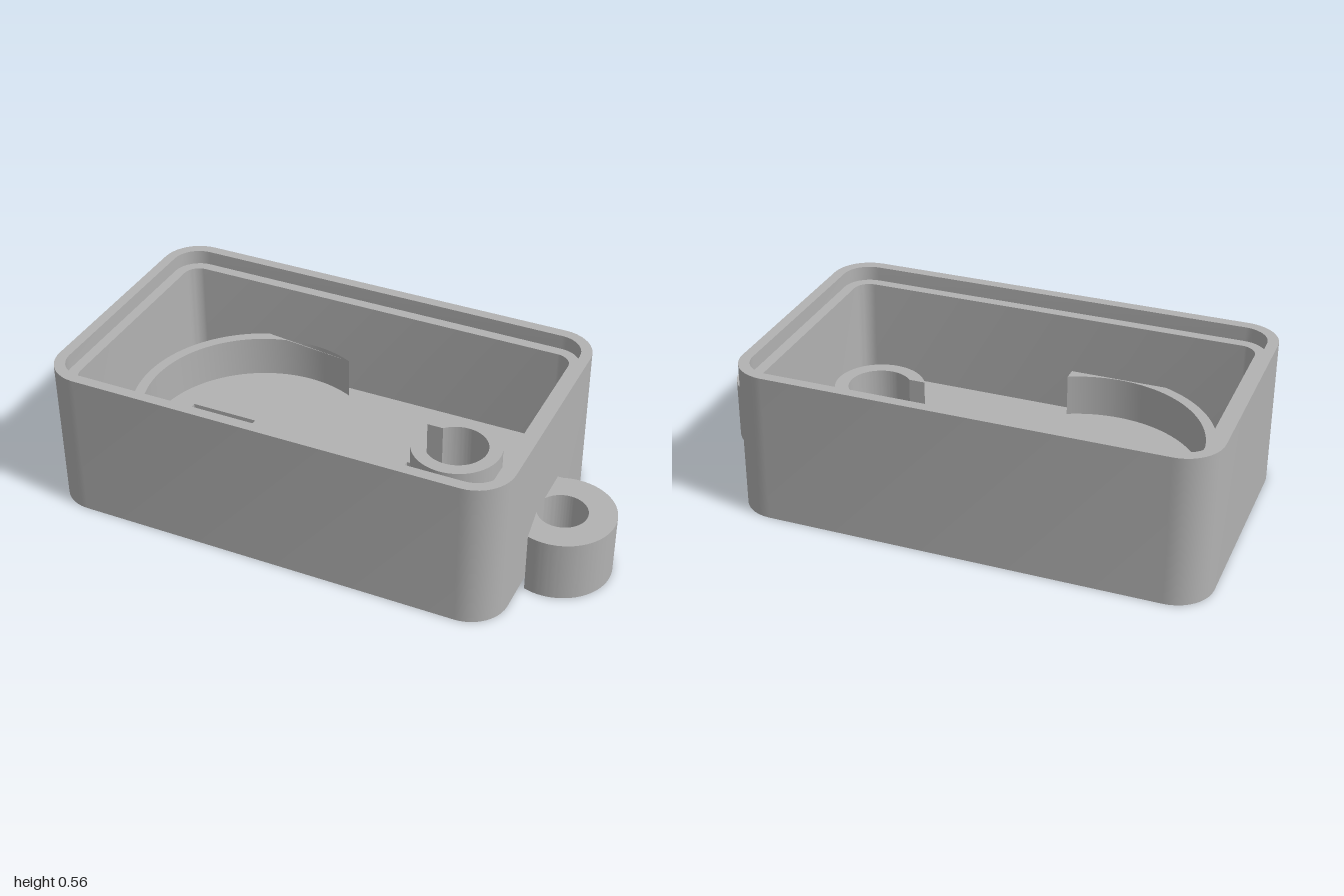
import * as THREE from 'three';
import { toCreasedNormals } from 'three/addons/utils/BufferGeometryUtils.js';

const X0 = -1, X1 = 0.73, HALF_Z = 0.515, RADIUS = 0.14;
const FLOOR = 0.12, HEIGHT = 0.56, LEDGE = 0.505, WALL = 0.08, LIP = 0.04;

// Rounded-rectangle loop in plan (x, z), inset from the outer wall
function outline(inset, steps = 10) {
  const pts = [], r = RADIUS - inset;
  const corners = [[X1, 1, 0], [X0, 1, 1], [X0, -1, 2], [X1, -1, 3]];
  for (const [x, side, q] of corners) {
    const cx = x === X1 ? X1 - RADIUS : X0 + RADIUS;
    const cz = side * (HALF_Z - RADIUS);
    for (let i = 0; i <= steps; i++) {
      const t = (q + i / steps) * Math.PI / 2;
      pts.push(new THREE.Vector2(cx + r * Math.cos(t), cz + r * Math.sin(t)));
    }
  }
  return pts;
}

// Sweep a closed wall profile of [inset, y] points around the outline
function wallGeometry(profile) {
  const loops = profile.map(([inset, y]) => outline(inset).map(p => [p.x, y, p.y]));
  const pos = [];
  loops.forEach((loop, k) => {
    const next = loops[(k + 1) % loops.length];
    for (let j = 0; j < loop.length; j++) {
      const n = (j + 1) % loop.length;
      pos.push(...loop[j], ...next[j], ...loop[n], ...loop[n], ...next[j], ...next[n]);
    }
  });
  const g = new THREE.BufferGeometry();
  g.setAttribute('position', new THREE.Float32BufferAttribute(pos, 3));
  return toCreasedNormals(g, 0.6);
}

// Extrude a plan shape (drawn in x, -z) upward from y0 to y1
function prism(shape, y0, y1) {
  const g = new THREE.ExtrudeGeometry(shape, { depth: y1 - y0, bevelEnabled: false, curveSegments: 48 });
  g.rotateX(-Math.PI / 2);
  g.translate(0, y0, 0);
  return toCreasedNormals(g, 0.6);
}

function slot(x0, x1) {
  return new THREE.Path([[x0, -0.085], [x0, 0.085], [x1, 0.085], [x1, -0.085]].map(p => new THREE.Vector2(...p)));
}

export function createModel() {
  const model = new THREE.Group();
  const grey = new THREE.MeshStandardMaterial({ color: 0xb2b2b2 });
  grey.name = 'grey plastic';
  const add = (name, geometry) => {
    const mesh = new THREE.Mesh(geometry, grey);
    mesh.name = name;
    model.add(mesh);
  };

  // Side walls with a stepped rim
  add('walls', wallGeometry([[0, 0], [0, HEIGHT], [LIP, HEIGHT], [LIP, LEDGE], [WALL, LEDGE], [WALL, 0]]));

  // Floor with two through slots
  const floor = new THREE.Shape(outline(WALL));
  floor.holes.push(slot(-0.74, -0.475), slot(0.155, 0.615));
  add('floor', prism(floor, 0, FLOOR));

  // Large curved holder, cut off by the side walls
  const cx = -0.41, ri = 0.43, ro = 0.47, endX = -0.22, wallZ = HALF_Z - WALL;
  const ao = Math.PI - Math.asin(wallZ / ro);
  const ai = Math.acos((endX - cx) / ri);
  const cradle = new THREE.Shape();
  cradle.moveTo(endX, wallZ);
  cradle.absarc(cx, 0, ro, ao, 2 * Math.PI - ao, false);
  cradle.lineTo(endX, -wallZ);
  cradle.absarc(cx, 0, ri, 2 * Math.PI - ai, ai, true);
  add('curvedHolder', prism(cradle, FLOOR, 0.28));

  // Small open ring over the long slot
  const gap = 0.078, so = 0.165, si = 0.115;
  const bo = Math.PI - Math.asin(gap / so), bi = Math.PI - Math.asin(gap / si);
  const ring = new THREE.Shape();
  ring.absarc(0.38, 0, so, -bo, bo, false);
  ring.absarc(0.38, 0, si, bi, -bi, true);
  add('openRing', prism(ring, FLOOR, 0.32));

  // Outside loop joined to the end wall by a short neck
  const lx = 0.81, ly = -0.085, lo = 0.19, li = 0.09, neck = 0.18;
  const co = Math.PI - Math.asin(neck / lo), ci = Math.acos((X1 - lx) / li);
  const lug = new THREE.Shape();
  lug.moveTo(X1, ly - neck);
  lug.absarc(lx, ly, lo, -co, co, false);
  lug.lineTo(X1, ly + neck);
  lug.absarc(lx, ly, li, ci, -ci, true);
  add('keyLoop', prism(lug, 0, 0.23));

  return model;
}
